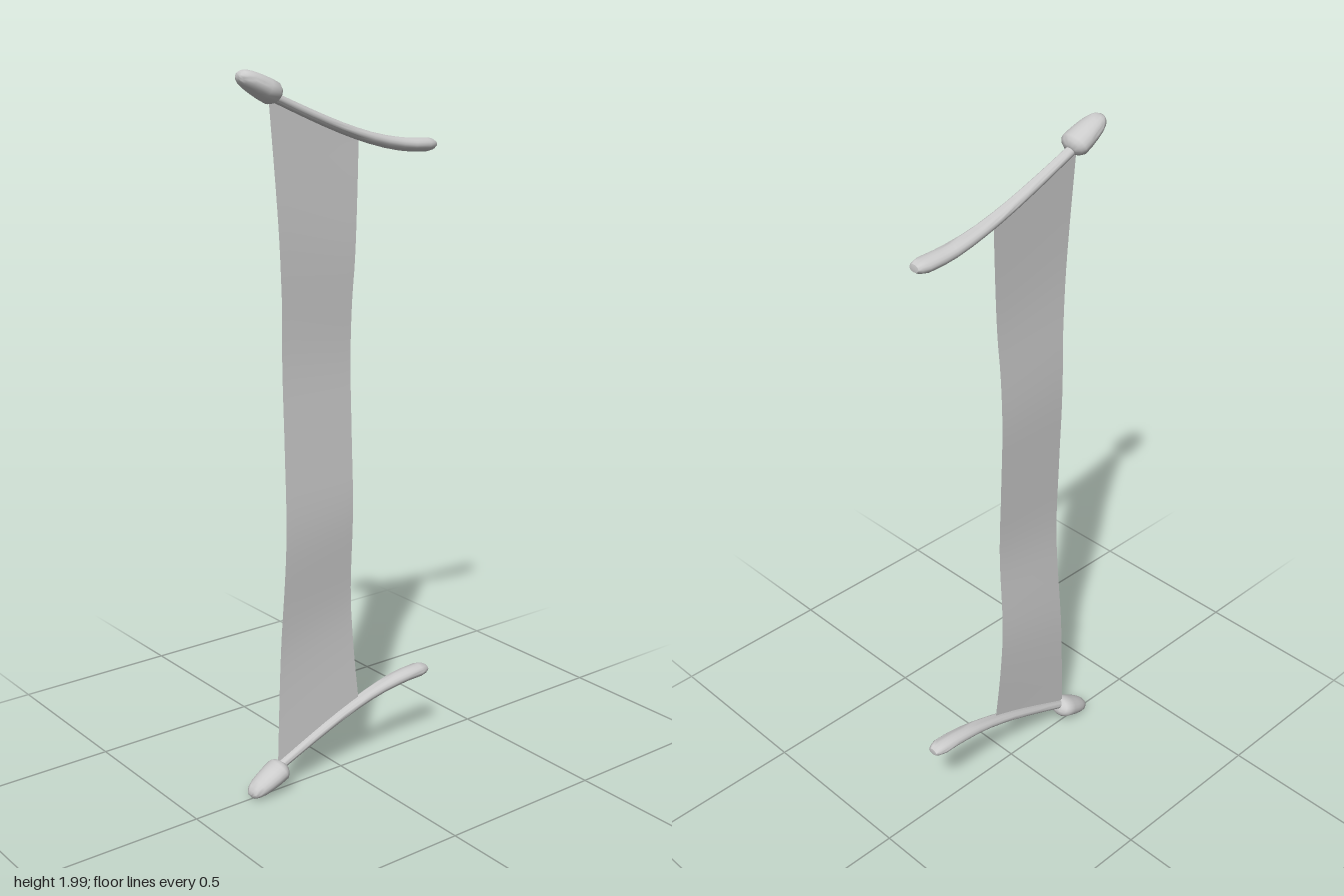
import * as THREE from 'three';
import { toCreasedNormals } from 'three/addons/utils/BufferGeometryUtils.js';

const grey = () => new THREE.MeshStandardMaterial({ color: 0xcccccc, side: THREE.DoubleSide });

// Distance of a rod's centre line from the end plane of the model, at depth z
const rodDepth = z => 0.158 - 0.356 * z - 0.339 * z * z + 0.642 * z ** 3;
// Height of a point at a given distance from the upper or lower end plane
const height = (d, upper) => (upper ? 2 - d : d * 1.06);

// Loft elliptical rings along stations [z, y, radiusX, radiusPerpendicular]
function loft(stations, sides = 16) {
  const pos = [], idx = [], n = stations.length;
  stations.forEach(([z, y, rx, ry], i) => {
    const p = stations[Math.max(i - 1, 0)], q = stations[Math.min(i + 1, n - 1)];
    const len = Math.hypot(q[0] - p[0], q[1] - p[1]);
    const tz = (q[0] - p[0]) / len, ty = (q[1] - p[1]) / len;
    for (let j = 0; j < sides; j++) {
      const a = (j / sides) * Math.PI * 2, s = Math.sin(a) * ry;
      pos.push(Math.cos(a) * rx, y + tz * s, z - ty * s);
    }
  });
  for (let i = 0; i < n - 1; i++) {
    for (let j = 0; j < sides; j++) {
      const k = (j + 1) % sides, a = i * sides, b = a + sides;
      // Rings that close to a point need only one triangle per side
      if (stations[i][2] > 0) idx.push(a + j, a + k, b + j);
      if (stations[i + 1][2] > 0) idx.push(a + k, b + k, b + j);
    }
  }
  const g = new THREE.BufferGeometry();
  g.setAttribute('position', new THREE.Float32BufferAttribute(pos, 3));
  g.setIndex(idx);
  return toCreasedNormals(g.toNonIndexed(), 0.8);
}

// Piecewise linear lookup in a list of [key, value]
function lookup(table, t) {
  let i = 0;
  while (i < table.length - 2 && t > table[i + 1][0]) i++;
  const [a, b] = [table[i], table[i + 1]];
  return THREE.MathUtils.mapLinear(t, a[0], b[0], a[1], b[1]);
}

// Dense table along a smooth curve through the given points
function smoothTable(points) {
  const curve = new THREE.SplineCurve(points.map(p => new THREE.Vector2(...p)));
  return curve.getPoints(60).map(p => [p.x, p.y]);
}

// Curved rod, thin at the front and thicker towards its rounded back end
function rodGeometry(upper) {
  const rows = [
    [-0.322, 0, 0], [-0.32, 0.016, 0.01], [-0.31, 0.022, 0.016], [-0.29, 0.028, 0.019],
    [-0.24, 0.0275, 0.0185], [-0.2, 0.0265, 0.018], [-0.15, 0.0235, 0.017], [-0.1, 0.021, 0.016],
    [-0.05, 0.0195, 0.0155], [0, 0.018, 0.015], [0.05, 0.017, 0.0145], [0.1, 0.016, 0.014],
    [0.15, 0.015, 0.0135], [0.2, 0.0145, 0.013], [0.23, 0.014, 0.013],
  ];
  return loft(rows.map(([z, rx, ry]) => [z, height(rodDepth(z), upper), rx, ry]));
}

// Bullet-shaped finial, slightly flattened, pointing outward along the rod
function finialGeometry(upper) {
  const rows = [
    [0, 0], [0.01, 0.021], [0.07, 0.034], [0.15, 0.042], [0.35, 0.041], [0.55, 0.038],
    [0.72, 0.034], [0.85, 0.028], [0.93, 0.021], [0.98, 0.012], [1, 0],
  ];
  return loft(rows.map(([t, r]) => [
    0.203 + 0.119 * t, height(0.07 - 0.057 * t, upper), r, r * 0.74,
  ]), 20);
}

// Waisted cloth panel stretched between the rods, with a slight ripple
function clothGeometry() {
  const front = smoothTable([[0, 0.225], [0.19, 0.203], [0.36, 0.194], [0.66, 0.193], [0.77, 0.2], [1, 0.23]]);
  const back = smoothTable([[0, -0.066], [0.13, -0.05], [0.3, -0.037], [0.68, -0.037], [0.8, -0.045], [1, -0.06]]);
  const ripple = smoothTable([[0, 0], [0.18, -0.009], [0.36, 0.009], [0.5, 0.003], [0.64, -0.004], [0.82, 0.005], [1, 0]]);
  const g = new THREE.PlaneGeometry(1, 1, 8, 40);
  const p = g.attributes.position;
  for (let i = 0; i < p.count; i++) {
    const u = p.getX(i) + 0.5, v = p.getY(i) + 0.5;
    const z = THREE.MathUtils.lerp(lookup(front, v), lookup(back, v), u);
    const d = rodDepth(z);
    p.setXYZ(i, lookup(ripple, v), THREE.MathUtils.lerp(height(d, false), height(d, true), v), z);
  }
  g.computeVertexNormals();
  return g;
}

export function createModel() {
  const model = new THREE.Group();
  model.name = 'hangingBanner';
  const add = (name, geometry, parent) => {
    const mesh = new THREE.Mesh(geometry, grey());
    mesh.name = name;
    parent.add(mesh);
  };

  // Upper and lower poles
  for (const upper of [true, false]) {
    const pole = new THREE.Group();
    pole.name = upper ? 'upperPole' : 'lowerPole';
    add('rod', rodGeometry(upper), pole);
    add('finial', finialGeometry(upper), pole);
    model.add(pole);
  }

  add('cloth', clothGeometry(), model);
  return model;
}
